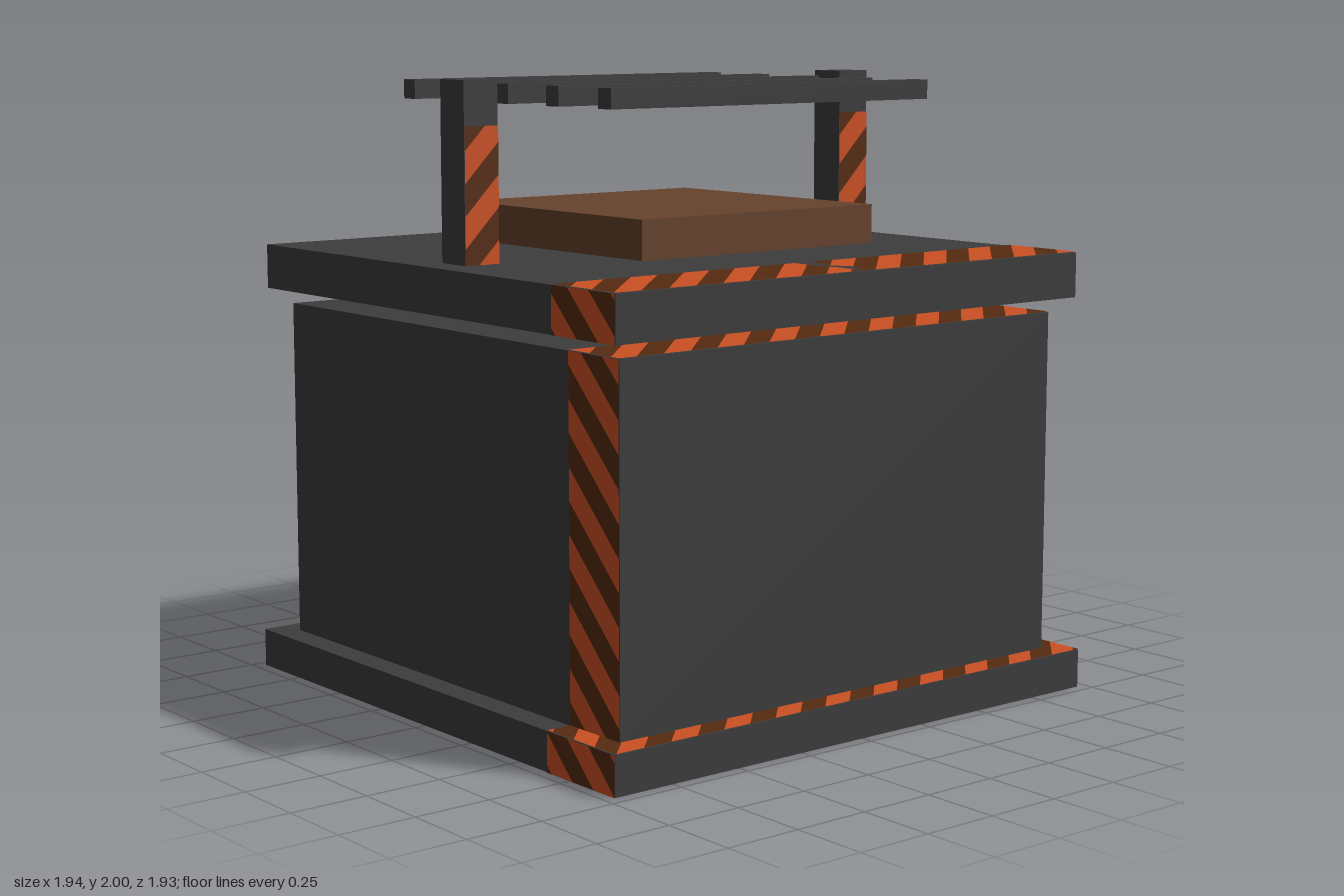
import * as THREE from 'three';

const material = (name, color) => {
  const m = new THREE.MeshStandardMaterial({ color });
  m.name = name;
  return m;
};

// Keep the part of a polygon where s * (x - slant * y) >= limit
function clip(points, slant, s, limit) {
  const dist = (p) => s * (p.x - slant * p.y) - limit;
  const out = [];
  points.forEach((p, i) => {
    const q = points[(i + 1) % points.length];
    const a = dist(p), b = dist(q);
    if (a >= 0) out.push(p);
    if ((a > 0 && b < 0) || (a < 0 && b > 0)) out.push(p.clone().lerp(q, a / (a - b)));
  });
  return out;
}

export function createModel() {
  const model = new THREE.Group();
  const grey = material('charcoal', 0x3d3d3d);
  const wood = material('brown', 0x66422c);
  const orange = material('hazardOrange', 0xcc5023);
  const dark = material('hazardBrown', 0x562b10);

  const box = (name, mat, x, y0, y1, z, w, d) => {
    const mesh = new THREE.Mesh(new THREE.BoxGeometry(w, y1 - y0, d), mat);
    mesh.name = name;
    mesh.position.set(x, (y0 + y1) / 2, z);
    model.add(mesh);
  };

  // Flat panel of diagonal bands, facing local +z before rotation
  const PERIOD = 0.2, LIFT = 0.003;
  const stripes = (name, w, h, pos, rot, slant = 1) => {
    const group = new THREE.Group();
    group.name = name;
    const rect = [[-1, -1], [1, -1], [1, 1], [-1, 1]]
      .map(([x, y]) => new THREE.Vector2(x * w / 2, y * h / 2));
    const shapes = [[], []];
    const step = PERIOD / 2;
    const n = Math.ceil((w + h) / 2 / step);
    for (let i = -n; i < n; i++) {
      const band = clip(clip(rect, slant, 1, i * step), slant, -1, -(i + 1) * step);
      if (band.length > 2) shapes[Math.abs(i) % 2].push(new THREE.Shape(band));
    }
    shapes.forEach((list, k) => {
      if (!list.length) return;
      const mesh = new THREE.Mesh(new THREE.ShapeGeometry(list), k ? dark : orange);
      mesh.name = k ? 'darkBands' : 'orangeBands';
      group.add(mesh);
    });
    group.position.set(...pos);
    group.rotation.set(...rot);
    group.translateZ(LIFT);
    model.add(group);
  };

  // Stacked housing: each tier has a hazard band along its front margin
  const START = 0.645;
  const tiers = [
    ['base', 0, 0.125, 0.965],
    ['body', 0.125, 1.24, 0.88],
    ['lid', 1.29, 1.435, 0.94],
  ];
  for (const [name, y0, y1, half] of tiers) {
    box(name, grey, 0, y0, y1, 0, half * 2, half * 2);
    const depth = half - START, z = (half + START) / 2, y = (y0 + y1) / 2;
    stripes(name + 'LeftStripes', depth, y1 - y0, [half, y, z], [0, Math.PI / 2, 0]);
    stripes(name + 'RightStripes', depth, y1 - y0, [-half, y, z], [0, -Math.PI / 2, 0], -1);
    stripes(name + 'TopStripes', half * 2, depth, [0, y1, z], [-Math.PI / 2, 0, 0]);
    if (name !== 'body') {
      const lift = name === 'base' ? LIFT : 0;
      stripes(name + 'BottomStripes', half * 2, depth, [0, y0 + lift - 0.001, z], [Math.PI / 2, 0, 0], -1);
    }
  }

  // Worn seam in the middle of the lid's hazard band
  const seam = new THREE.Shape([[-0.03, 0.14], [0.03, 0.14], [0.02, 0.06], [0, 0.02], [0.04, -0.06],
    [0.01, -0.14], [-0.02, -0.14], [-0.01, -0.06], [-0.03, 0]].map((p) => new THREE.Vector2(...p)));
  const seamMesh = new THREE.Mesh(new THREE.ShapeGeometry(seam), grey);
  seamMesh.name = 'lidSeam';
  seamMesh.position.set(0, 1.441, 0.79);
  seamMesh.rotation.x = -Math.PI / 2;
  model.add(seamMesh);

  // Slab hovering over the lid
  box('slab', wood, 0, 1.46, 1.585, 0, 0.95, 0.95);

  // Posts striped on front and back
  for (const side of [-1, 1]) {
    const x = side * 0.773;
    const name = side > 0 ? 'leftPost' : 'rightPost';
    box(name, grey, x, 1.435, 2, 0, 0.125, 0.125);
    stripes(name + 'FrontStripes', 0.125, 0.425, [x, 1.6475, 0.0625], [0, 0, 0]);
    stripes(name + 'BackStripes', 0.125, 0.425, [x, 1.6475, -0.0625], [0, Math.PI, 0]);
  }

  // Row of grille bars between the posts
  for (let i = -2; i <= 2; i++) {
    box('grilleBar', grey, 0, 1.922, 1.984, i * 0.258, 1.295, 0.062);
  }
  return model;
}
